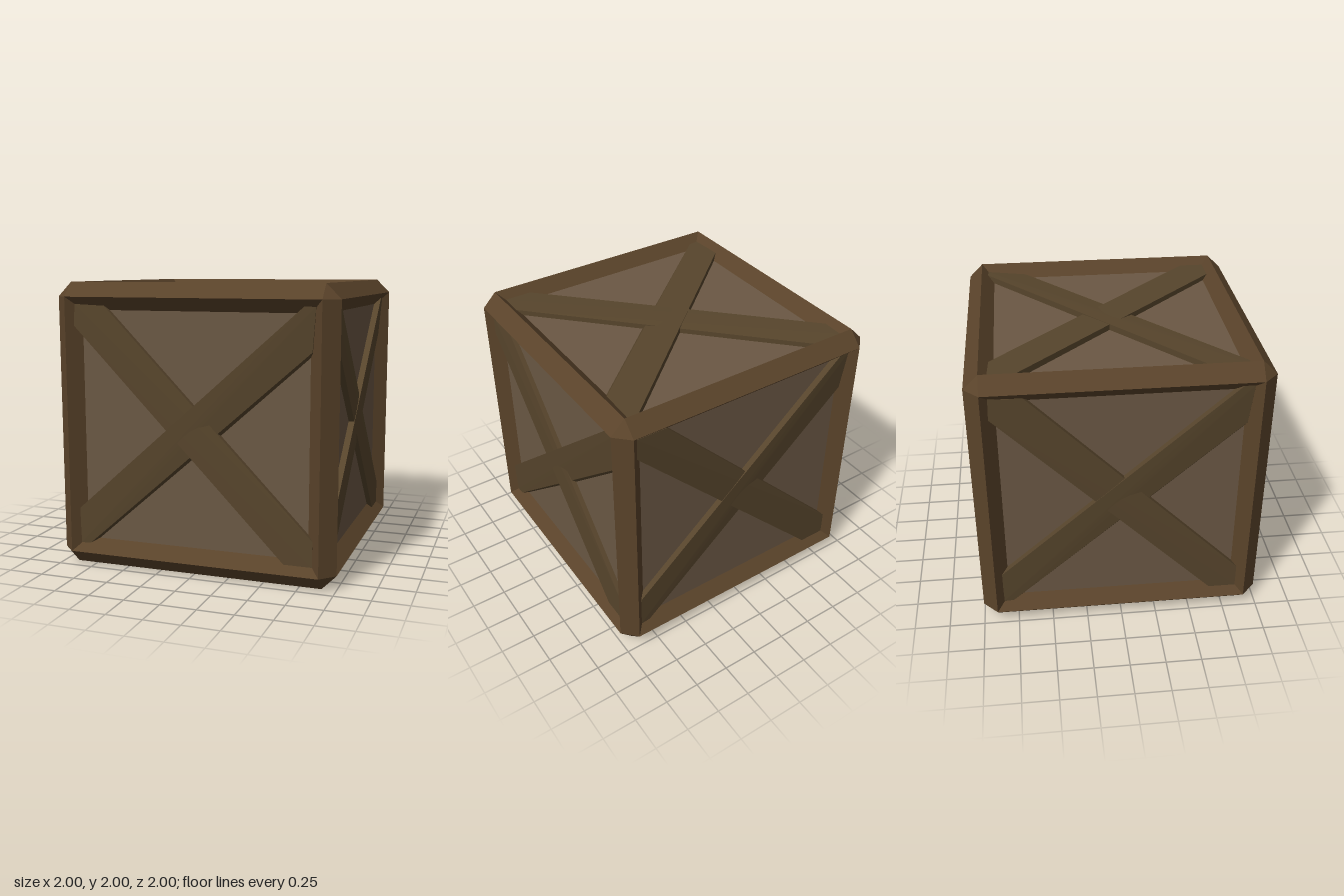
import * as THREE from 'three';
import { ConvexGeometry } from 'three/addons/geometries/ConvexGeometry.js';

const mat = (color) => new THREE.MeshStandardMaterial({ color, flatShading: true });
const frameMat = mat(0x5a432a);
const boardMat = mat(0x57452c);
const panelMat = mat(0x6b5844);

const V = (x, y, z) => new THREE.Vector3(x, y, z);

function addMesh(parent, geometry, material, name) {
  const mesh = new THREE.Mesh(geometry, material);
  mesh.name = name;
  parent.add(mesh);
  return mesh;
}

const OUT = 1, MID = 0.9, IN = 0.8;

// Diamond-section beam along one axis, mitred at both ends
function beamGeometry(axis, s, t) {
  const section = [[MID, OUT, MID], [OUT, MID, MID], [MID, IN, IN], [IN, MID, IN]];
  const points = [];
  for (const [a, b, half] of section) {
    for (const end of [-1, 1]) {
      const p = V(0, 0, 0);
      p.setComponent(axis, end * half);
      p.setComponent((axis + 1) % 3, s * a);
      p.setComponent((axis + 2) % 3, t * b);
      points.push(p);
    }
  }
  return new ConvexGeometry(points);
}

// Board from its outer outline, extruded back into the panel; the flare slopes its sides
function boardGeometry(outline, flare) {
  const points = [];
  outline.forEach(([x, y, z], i) => {
    const [dx, dy] = flare[i] ?? [0, 0];
    points.push(V(x, y, z), V(x + dx, y + dy, 0.89));
  });
  return new ConvexGeometry(points);
}

export function createModel() {
  const model = new THREE.Group();
  model.name = 'crate';
  const crate = new THREE.Group();
  crate.name = 'crateBody';
  crate.position.y = 1;
  model.add(crate);

  // Recessed panels
  addMesh(crate, new THREE.BoxGeometry(1.82, 1.82, 1.82), panelMat, 'panels');

  // Twelve edge beams
  const axisNames = ['widthBeam', 'uprightBeam', 'depthBeam'];
  for (let axis = 0; axis < 3; axis++) {
    for (const s of [-1, 1]) for (const t of [-1, 1]) {
      addMesh(crate, beamGeometry(axis, s, t), frameMat, axisNames[axis]);
    }
  }

  // Eight corner blocks closing the mitres
  for (const x of [-1, 1]) for (const y of [-1, 1]) for (const z of [-1, 1]) {
    const corner = [[MID, MID, OUT], [MID, OUT, MID], [OUT, MID, MID], [IN, IN, IN]];
    const points = corner.map(([a, b, c]) => V(x * a, y * b, z * c));
    addMesh(crate, new ConvexGeometry(points), frameMat, 'cornerBlock');
  }

  // Crossed boards, slightly uneven
  const falling = boardGeometry([
    [-0.85, 0.85, 0.953], [-0.63, 0.84, 0.944], [0.845, -0.67, 0.946],
    [0.845, -0.845, 0.946], [0.65, -0.845, 0.946], [-0.855, 0.70, 0.955],
  ], {});
  const rising = boardGeometry([
    [-0.85, -0.59, 0.953], [-0.85, -0.845, 0.947], [-0.78, -0.845, 0.943],
    [0.825, 0.565, 0.932], [0.85, 0.855, 0.953], [0.78, 0.86, 0.956],
  ], { 2: [0.015, -0.015], 3: [0.015, -0.03] });

  // The same cross on all six sides
  const sides = [
    ['front', 0, 0], ['right', 0, 1], ['back', 0, 2],
    ['left', 0, -1], ['top', -1, 0], ['bottom', 1, 0],
  ];
  for (const [name, rx, ry] of sides) {
    const cross = new THREE.Group();
    cross.name = name + 'Cross';
    cross.rotation.set(rx * Math.PI / 2, ry * Math.PI / 2, 0);
    addMesh(cross, falling, boardMat, 'fallingBoard');
    addMesh(cross, rising, boardMat, 'risingBoard');
    crate.add(cross);
  }

  return model;
}
